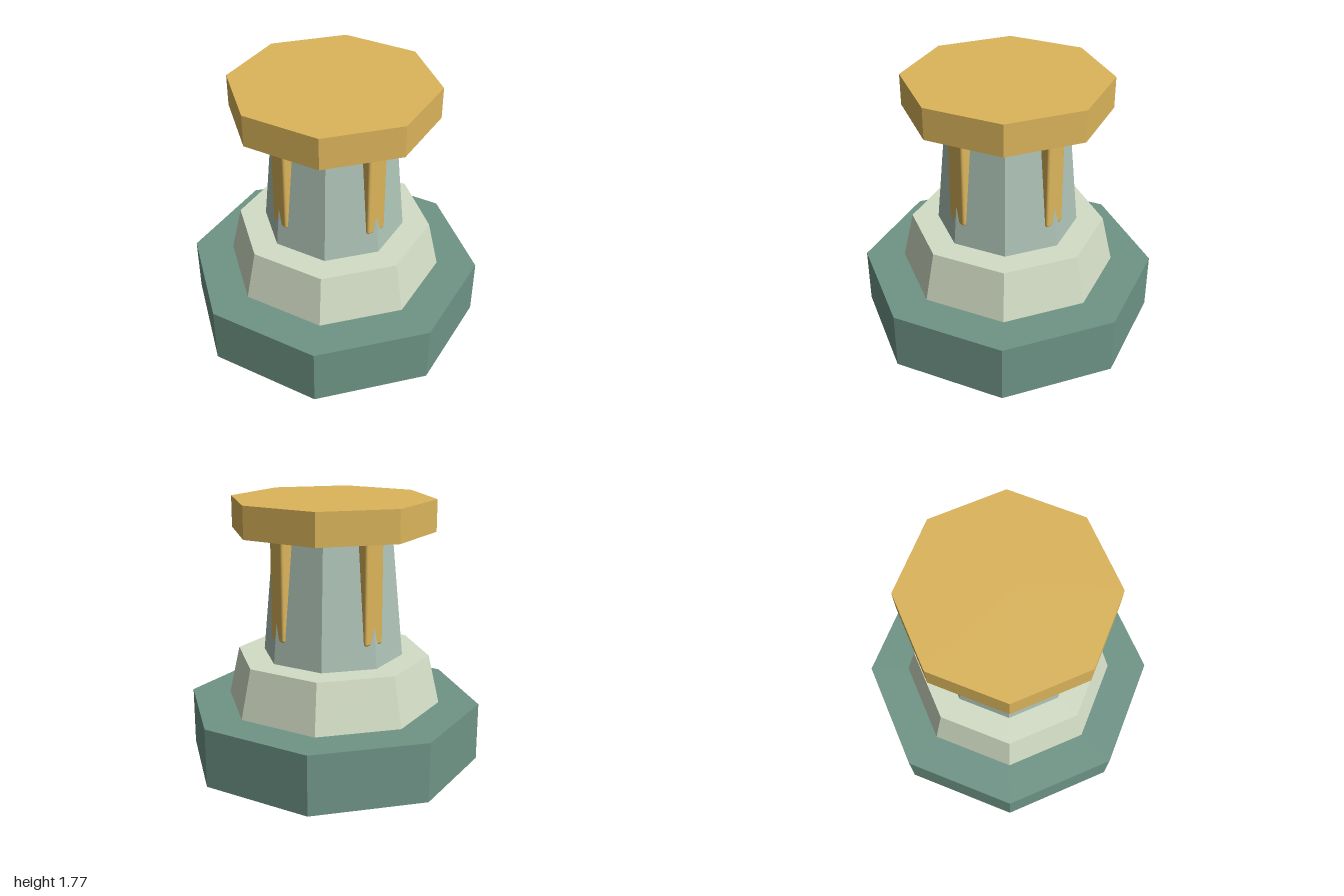
import * as THREE from 'three';
import { RoundedBoxGeometry } from 'three/addons/geometries/RoundedBoxGeometry.js';

const material = (color, flatShading) => new THREE.MeshStandardMaterial({ color, flatShading });

// Eight-sided tier with corners on the x and z axes
function tier(name, bottomRadius, topRadius, y0, y1, color) {
  const geometry = new THREE.CylinderGeometry(topRadius, bottomRadius, y1 - y0, 8);
  const mesh = new THREE.Mesh(geometry, material(color, true));
  mesh.name = name;
  mesh.position.y = (y0 + y1) / 2;
  return mesh;
}

export function createModel() {
  const group = new THREE.Group();
  group.name = 'pedestal';

  // Stacked octagonal tiers
  group.add(
    tier('base', 1, 1, 0, 0.395, 0x6f9587),
    tier('plinth', 0.73, 0.655, 0.395, 0.725, 0xd4dec6),
    tier('column', 0.475, 0.395, 0.725, 1.565, 0xafc4b7),
    tier('cap', 0.68, 0.68, 1.565, 1.775, 0xdcb55b),
  );

  // Upright straps half sunk into the column corners, one per axis direction
  const strapGeometry = new RoundedBoxGeometry(0.14, 0.71, 0.12, 3, 0.016);
  const gold = material(0xdcb55b, false);
  for (let i = 0; i < 4; i++) {
    const angle = (i * Math.PI) / 2;
    const strap = new THREE.Mesh(strapGeometry, gold);
    strap.name = `strap${i + 1}`;
    strap.position.set(Math.sin(angle) * 0.389, 1.23, Math.cos(angle) * 0.389);
    strap.rotation.y = angle;
    group.add(strap);
  }
  return group;
}
